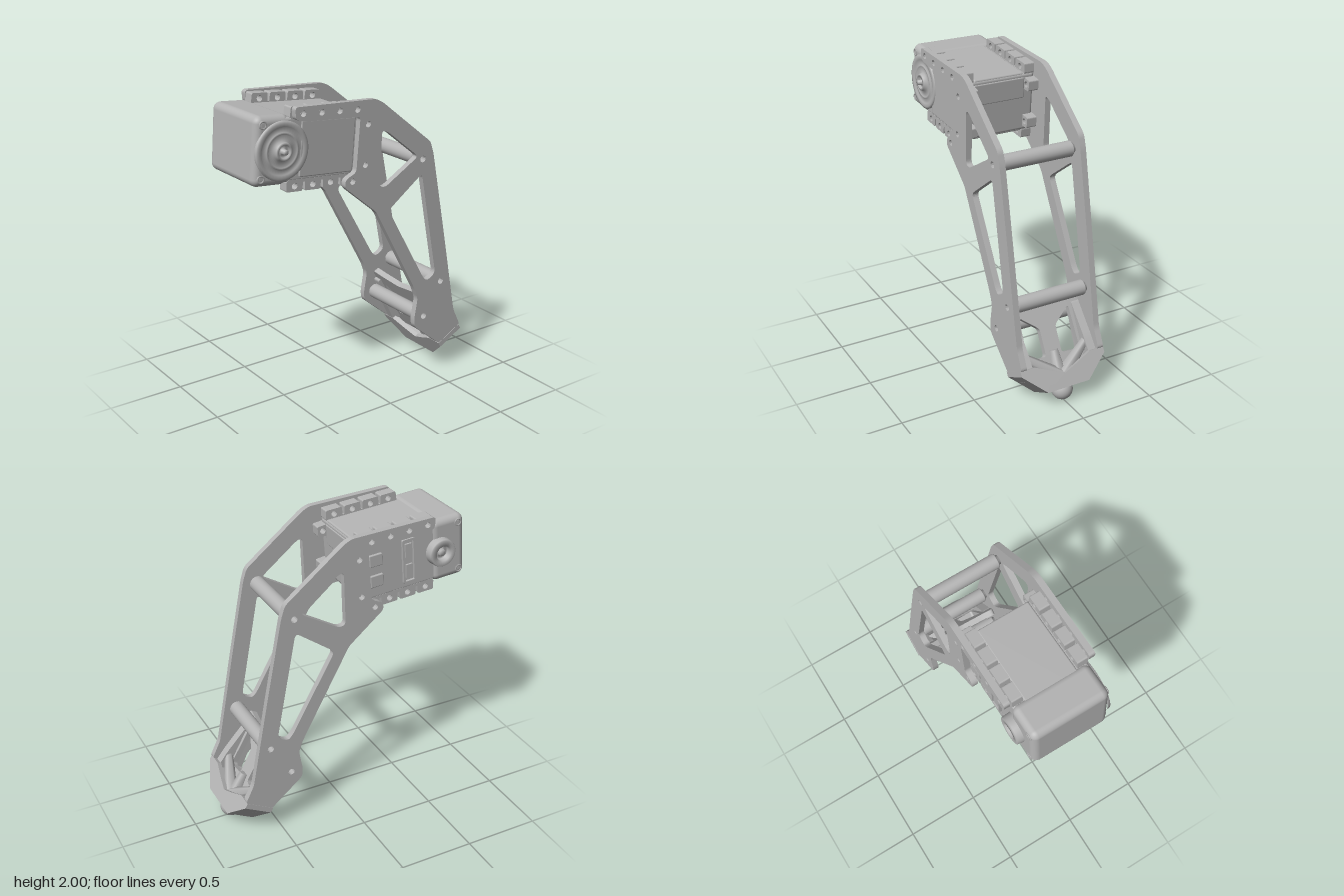
import * as THREE from 'three';
import { RoundedBoxGeometry } from 'three/addons/geometries/RoundedBoxGeometry.js';

const grey = new THREE.MeshStandardMaterial({ color: 0xb4b4b4 });
grey.name = 'grey';

function add(parent, name, geometry, x = 0, y = 0, z = 0) {
  const mesh = new THREE.Mesh(geometry, grey);
  mesh.name = name;
  mesh.position.set(x, y, z);
  parent.add(mesh);
  return mesh;
}

const vectors = points => points.map(p => new THREE.Vector2(...p));

// Closed outline with softened corners, always counter-clockwise
function rounded(points, r, Type = THREE.Shape) {
  const path = new Type();
  const v = vectors(points);
  if (THREE.ShapeUtils.isClockWise(v)) v.reverse();
  v.forEach((p, i) => {
    const before = v[(i + v.length - 1) % v.length], after = v[(i + 1) % v.length];
    const toward = q => p.clone().lerp(q, Math.min(0.45, r / p.distanceTo(q)));
    const a = toward(before), b = toward(after);
    if (i) path.lineTo(a.x, a.y); else path.moveTo(a.x, a.y);
    path.quadraticCurveTo(p.x, p.y, b.x, b.y);
  });
  path.closePath();
  return path;
}

function drill(shape, x, y, r) {
  const hole = new THREE.Path();
  hole.absarc(x, y, r, 0, Math.PI * 2, true);
  shape.holes.push(hole);
}

const slab = (shape, depth) => new THREE.ExtrudeGeometry(shape, { depth, bevelEnabled: false, curveSegments: 6 });
// Slab drawn in the z-y plane, thickness along x
const crossSlab = (shape, depth) => slab(shape, depth).rotateY(Math.PI / 2);

const TILT = -0.08, CX = -0.435, CY = 1.725;
const toWorld = (x, y) => [
  CX + x * Math.cos(TILT) - y * Math.sin(TILT),
  CY + x * Math.sin(TILT) + y * Math.cos(TILT)
];
const tabX = [0, 1, 2, 3].map(i => -0.098 + i * 0.13);
const endTabY = [0.128, -0.125];
const spacers = [[0.39, 1.53], [0.57, 0.65], [0.43, 0.43]];

function sidePlateShape() {
  const s = rounded([
    [-0.57, 1.998], [0.01, 1.97], [0.06, 1.945], [0.45, 1.635], [0.476, 1.555], [0.58, 1.02],
    [0.695, 0.41], [0.755, 0.285], [0.585, 0.18], [0.355, 0.37], [0.35, 0.43], [0.375, 0.57],
    [0.345, 0.65], [0.02, 1.25], [-0.22, 1.45], [-0.215, 1.5], [-0.135, 1.535],
    [-0.105, 1.875], [-0.5, 1.905], [-0.565, 1.92]
  ], 0.025);
  s.holes.push(
    rounded([[0.06, 1.765], [0.1, 1.755], [0.35, 1.555], [0.09, 1.4], [0.045, 1.41]], 0.03, THREE.Path),
    rounded([[0.385, 1.435], [0.52, 0.72], [0.45, 0.68], [0.415, 0.715], [0.12, 1.24]], 0.035, THREE.Path)
  );
  for (const [x, y] of spacers) drill(s, x, y, 0.022);
  tabX.forEach(x => drill(s, ...toWorld(x, 0.222), 0.02));
  endTabY.forEach(y => drill(s, ...toWorld(0.38, y), 0.02));
  drill(s, ...toWorld(0.292, -0.222), 0.02);
  return s;
}

function buildMotor() {
  const motor = new THREE.Group();
  motor.name = 'motor';
  motor.position.set(CX, CY, 0);
  motor.rotation.z = TILT;

  add(motor, 'motorBody', new RoundedBoxGeometry(0.72, 0.39, 0.5, 4, 0.02), -0.005, 0, 0);
  add(motor, 'motorEndCap', new RoundedBoxGeometry(0.24, 0.42, 0.515, 4, 0.045), -0.267, 0, -0.005);
  add(motor, 'topCover', new RoundedBoxGeometry(0.7, 0.402, 0.35, 2, 0.012), 0, 0, 0);
  add(motor, 'frontPanel', new RoundedBoxGeometry(0.39, 0.34, 0.03, 2, 0.008), 0.12, 0, 0.242);
  add(motor, 'endPanel', new RoundedBoxGeometry(0.03, 0.14, 0.36, 2, 0.008), 0.345, 0.1, 0);
  add(motor, 'endPanel', new RoundedBoxGeometry(0.03, 0.16, 0.36, 2, 0.008), 0.34, -0.09, 0);

  // Front bearing with shallow rings and a shaft
  const rings = [[0.18, 0.24], [0.18, 0.26], [0.165, 0.263], [0.145, 0.263], [0.142, 0.255], [0.115, 0.255],
    [0.112, 0.263], [0.1, 0.263], [0.096, 0.257], [0.06, 0.257], [0.055, 0.281], [0.04, 0.284],
    [0.038, 0.268], [0.018, 0.268], [0.016, 0.3], [0, 0.3]];
  add(motor, 'frontBearing', new THREE.LatheGeometry(vectors(rings), 40).rotateX(Math.PI / 2), -0.202, 0, 0);

  // Rear boss with a bored centre
  const boss = [[0.095, 0.24], [0.09, 0.3], [0.085, 0.308], [0.05, 0.308], [0.047, 0.275], [0.025, 0.275],
    [0.022, 0.295], [0, 0.295]];
  add(motor, 'rearBoss', new THREE.LatheGeometry(vectors(boss), 32).rotateX(-Math.PI / 2), -0.202, 0, 0);

  // Rear connectors
  const frame = rounded([[-0.045, -0.15], [0.045, -0.15], [0.045, 0.15], [-0.045, 0.15]], 0.01);
  frame.holes.push(rounded([[-0.032, -0.135], [0.032, -0.135], [0.032, 0.135], [-0.032, 0.135]], 0.005, THREE.Path));
  add(motor, 'connectorFrame', slab(frame, 0.025), 0.02, 0, -0.268);
  for (const y of [-0.07, 0.07]) {
    add(motor, 'connector', new THREE.BoxGeometry(0.045, 0.09, 0.02), 0.02, y, -0.253);
    add(motor, 'rearBlock', new RoundedBoxGeometry(0.09, 0.08, 0.03, 2, 0.006), 0.25, y, -0.25);
  }

  // Corner screws on both faces
  for (const z of [-0.26, 0.25]) for (const y of [-0.16, 0.16])
    add(motor, 'cornerScrew', new THREE.TorusGeometry(0.021, 0.006, 6, 18), -0.338, y, z);

  // Drilled mounting tabs along top, bottom and inner end
  for (const side of [-1, 1]) {
    const z = side > 0 ? 0.18 : -0.25;
    for (const up of [-1, 1]) {
      add(motor, 'mountingRail', new THREE.BoxGeometry(0.5, 0.02, 0.07), 0.1, up * 0.191, side * 0.215);
      for (const x of tabX) {
        const tab = rounded([[-0.06, 0.19], [0.06, 0.19], [0.055, 0.256], [-0.055, 0.256]].map(([a, b]) => [a, b * up]), 0.01);
        drill(tab, 0, 0.222 * up, 0.02);
        add(motor, 'mountingTab', slab(tab, 0.07), x, 0, z);
      }
    }
    for (const y of endTabY) {
      const tab = rounded([[0.34, y - 0.04], [0.415, y - 0.035], [0.415, y + 0.035], [0.34, y + 0.04]], 0.01);
      drill(tab, 0.38, y, 0.02);
      add(motor, 'endTab', slab(tab, 0.07), 0, 0, z);
    }
  }
  return motor;
}

function buildFoot() {
  const foot = new THREE.Group();
  foot.name = 'foot';
  foot.position.set(0.662, 0.228, 0);
  foot.rotation.z = 0.5;

  // Tapered cup
  const outer = [[-0.303, 0.01], [-0.303, -0.025], [-0.15, -0.165], [0.15, -0.165], [0.303, -0.025], [0.303, 0.01]];
  const inner = [[0.26, 0.01], [0.255, -0.02], [0.13, -0.125], [-0.13, -0.125], [-0.255, -0.02], [-0.26, 0.01]];
  add(foot, 'footCup', crossSlab(new THREE.Shape(vectors([...outer, ...inner])), 0.2), -0.1, 0, 0);
  const wall = [...outer, [0.2, 0.01], [0.09, -0.04], [0, -0.075], [-0.09, -0.04], [-0.2, 0.01]];
  for (const x of [-0.1, 0.07])
    add(foot, 'footWall', crossSlab(new THREE.Shape(vectors(wall)), 0.03), x, 0, 0);
  add(foot, 'footBall', new THREE.SphereGeometry(0.07, 28, 18), -0.005, -0.18, 0);

  // Branched web between the side plates
  const web = rounded([[-0.26, -0.08], [0.26, -0.08], [0.26, 0.42], [0.17, 0.4], [0, 0.375], [-0.17, 0.4], [-0.26, 0.42]], 0.03);
  for (const s of [-1, 1]) web.holes.push(
    rounded([[0.058, 0.04], [0.058, 0.22], [0.18, 0.32], [0.19, 0.03]].map(([a, b]) => [a * s, b]), 0.02, THREE.Path));
  add(foot, 'crossWeb', crossSlab(web, 0.04), -0.04, 0, 0);

  // Ribs spreading from the cup centre, and thick cheeks by the plates
  for (const s of [-1, 1]) {
    const rib = add(foot, 'rib', new THREE.CylinderGeometry(0.025, 0.05, 0.3, 6), 0.03, 0.0, s * 0.13);
    rib.rotation.x = s * 0.9;
    const cheek = rounded([[-0.1, -0.02], [0.08, -0.02], [0.06, 0.1], [0.0, 0.34], [-0.06, 0.36], [-0.09, 0.15]], 0.02);
    add(foot, 'cheek', slab(cheek, 0.06), 0, 0, s > 0 ? 0.205 : -0.265);
  }
  add(foot, 'rib', new THREE.CylinderGeometry(0.03, 0.055, 0.2, 6), 0.01, -0.03, 0);
  return foot;
}

export function createModel() {
  const leg = new THREE.Group();
  leg.name = 'robotLeg';
  leg.add(buildMotor(), buildFoot());

  // Matching side plates
  const plate = slab(sidePlateShape(), 0.04);
  add(leg, 'leftSidePlate', plate, 0, 0, 0.26);
  add(leg, 'rightSidePlate', plate, 0, 0, -0.3);

  // Hollow round spacers with narrow necks joining the plates
  const profile = [[0.022, -0.261], [0.032, -0.261], [0.032, -0.245], [0.045, -0.245], [0.05, -0.238],
    [0.05, 0.238], [0.045, 0.245], [0.032, 0.245], [0.032, 0.261], [0.022, 0.261], [0.022, -0.261]];
  const spacer = new THREE.LatheGeometry(vectors(profile), 24).rotateX(Math.PI / 2);
  for (const [x, y] of spacers) add(leg, 'spacer', spacer, x, y, 0);
  return leg;
}
